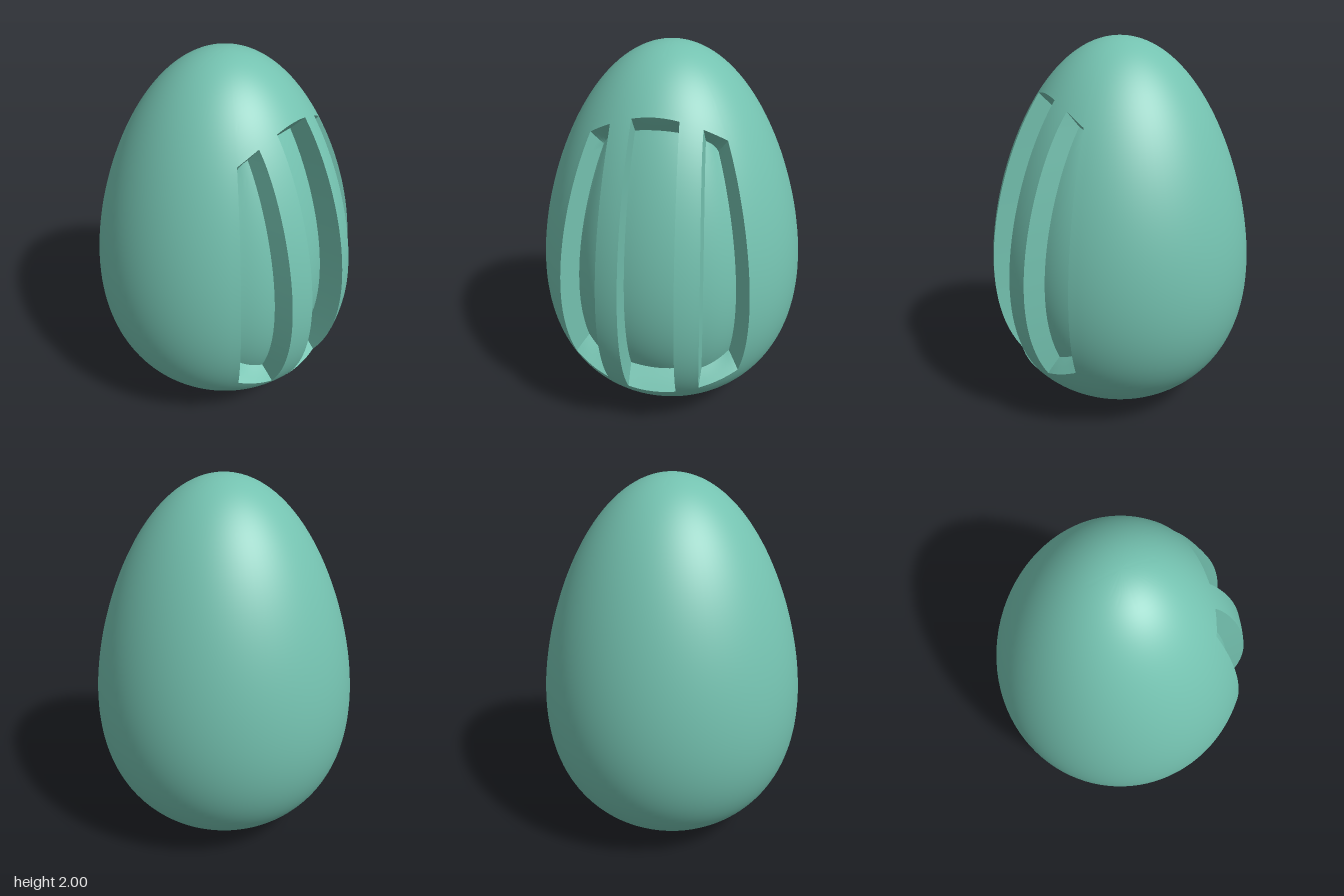
import * as THREE from 'three';
import { mergeGeometries, toCreasedNormals } from 'three/addons/utils/BufferGeometryUtils.js';

const ROWS = 48;           // rows along the grooves
const BEVEL = 3 / ROWS;    // share of the length taken by each sloped groove end
const OUTER = 0.77;        // angle of the outermost groove edges

// egg radius at height y
function radius(y) {
  const s = y - 1;
  return Math.sqrt(Math.max(0, 1 - s * s)) * (0.683 - 0.148 * s + 0.054 * s * s);
}

// lower and upper rim of the groove band, curving toward its middle at the sides
const clampSq = (a) => Math.min(Math.abs(a > Math.PI ? a - 2 * Math.PI : a), OUTER) ** 2;
const rimLow = (a) => 0.27 + 0.21 * clampSq(a);
const rimHigh = (a) => 1.735 - 0.19 * clampSq(a);

function onEgg(a, y) {
  const r = radius(y);
  return new THREE.Vector3(r * Math.cos(a), y, r * Math.sin(a));
}
const onBand = (a, v) => onEgg(a, THREE.MathUtils.lerp(rimLow(a), rimHigh(a), v));

// angle of a rib edge whose half distance is z at the widest height
function ribAngle(z, v) {
  const r = radius(THREE.MathUtils.lerp(0.27, 1.735, v));
  return Math.asin((z * (0.5 + (0.5 * r) / 0.7)) / r);
}

// section borders around the egg: groove, rib, groove, rib, groove, plain shell
const borders = [
  () => -OUTER,
  (v) => -ribAngle(0.26, v),
  (v) => -ribAngle(0.14, v),
  (v) => ribAngle(0.14, v),
  (v) => ribAngle(0.26, v),
  () => OUTER,
  () => 2 * Math.PI - OUTER,
];
const angleIn = (k, u, v) => THREE.MathUtils.lerp(borders[k](v), borders[k + 1](v), u);

// surface from a function of u (around) and v (up)
function grid(fn, nu, nv) {
  const pos = [];
  const index = [];
  for (let j = 0; j <= nv; j++)
    for (let i = 0; i <= nu; i++) pos.push(...fn(i / nu, j / nv).toArray());
  for (let j = 0; j < nv; j++)
    for (let i = 0; i < nu; i++) {
      const a = j * (nu + 1) + i;
      const b = a + nu + 1;
      index.push(a, b, a + 1, a + 1, b, b + 1);
    }
  const geo = new THREE.BufferGeometry();
  geo.setAttribute('position', new THREE.Float32BufferAttribute(pos, 3));
  geo.setIndex(index);
  return geo;
}

// groove floor: straight in along x near the ribs, radially at the outer walls
function floorPoint(k, u, v) {
  const a = angleIn(k, u, v);
  const p = onBand(a, v);
  const ends = Math.min(1, v / BEVEL, (1 - v) / BEVEL);
  const side = k === 0 ? 1 - u : k === 4 ? u : 0;
  const depth = (k === 2 ? 0.14 : 0.11) * ends;
  const dir = a * side;
  p.x -= depth * Math.cos(dir);
  p.z -= depth * Math.sin(dir);
  return p;
}

function grooveGeometry(k) {
  const wall = (u) => grid(
    (t, v) => onBand(angleIn(k, u, v), v).lerp(floorPoint(k, u, v), u === 0 ? t : 1 - t), 2, ROWS);
  return mergeGeometries([grid((u, v) => floorPoint(k, u, v), 10, ROWS), wall(0), wall(1)]);
}

export function createModel() {
  const group = new THREE.Group();
  const material = new THREE.MeshStandardMaterial({ color: 0x74c2b0, side: THREE.DoubleSide });
  const add = (name, geo) => {
    const mesh = new THREE.Mesh(toCreasedNormals(geo, 0.6), material);
    mesh.name = name;
    group.add(mesh);
  };

  // shell: rounded ends all round, with ribs and plain side between the grooves
  const shell = [];
  for (let k = 0; k < 6; k++) {
    const nu = k === 5 ? 72 : k % 2 ? 6 : 10;
    shell.push(grid((u, t) => {
      const a = angleIn(k, u, 0);
      return onEgg(a, rimLow(a) * (1 - Math.cos((t * Math.PI) / 2)));
    }, nu, 20));
    shell.push(grid((u, t) => {
      const a = angleIn(k, u, 1);
      return onEgg(a, 2 - (2 - rimHigh(a)) * (1 - Math.cos(((1 - t) * Math.PI) / 2)));
    }, nu, 20));
    if (k % 2) shell.push(grid((u, v) => onBand(angleIn(k, u, v), v), nu, ROWS));
  }
  add('eggShell', mergeGeometries(shell));

  // three recessed grooves
  add('backGroove', grooveGeometry(0));
  add('middleGroove', grooveGeometry(2));
  add('frontGroove', grooveGeometry(4));
  return group;
}
